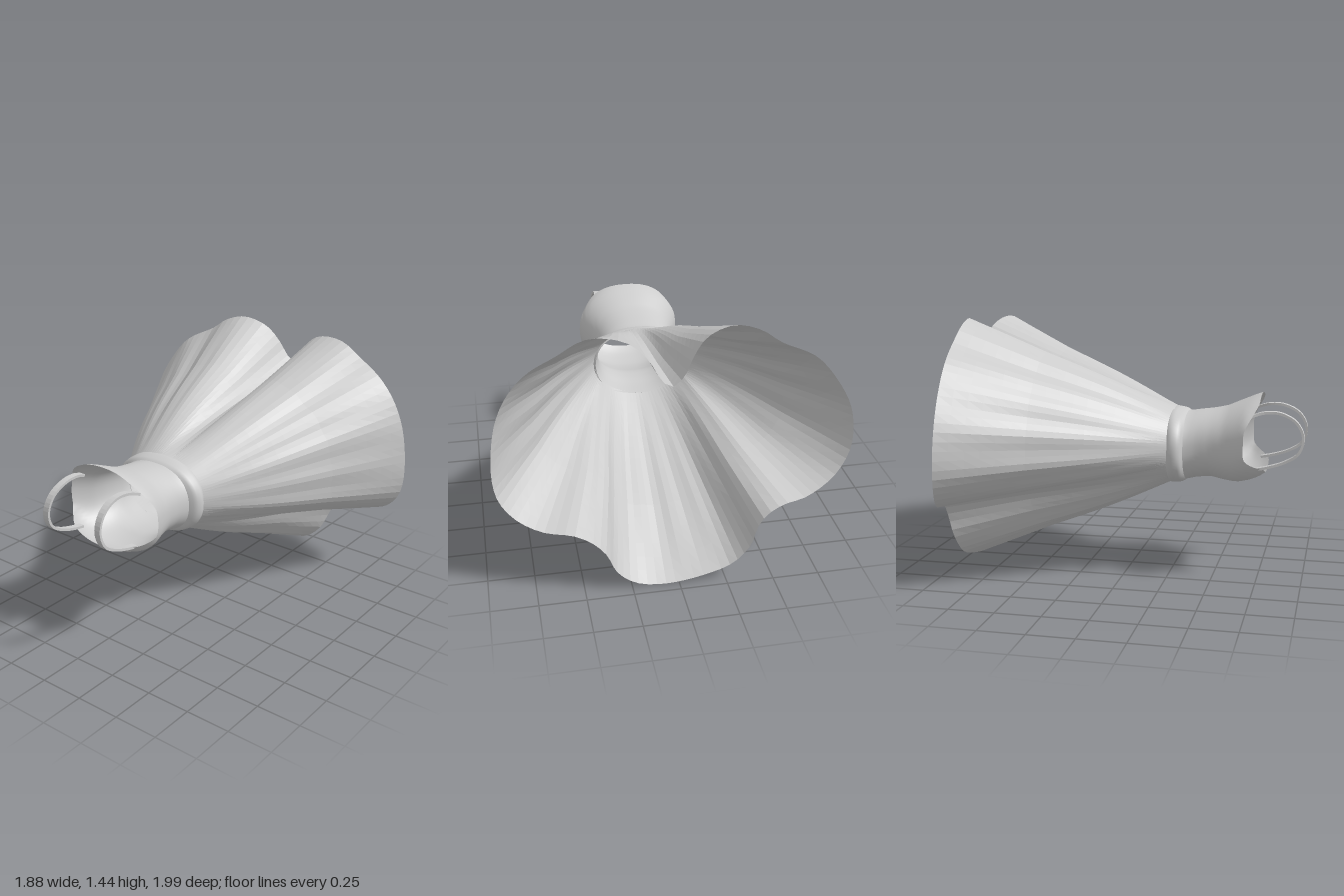
import * as THREE from 'three';

// Skin a list of closed rings (arrays of Vector3, counter-clockwise seen from +z, running towards -z)
function loft(rings, name, flatShading) {
  const n = rings[0].length, pos = [], index = [];
  rings.forEach(r => r.forEach(p => pos.push(p.x, p.y, p.z)));
  for (let j = 0; j < rings.length - 1; j++) {
    for (let i = 0; i < n; i++) {
      const a = j * n + i, b = j * n + (i + 1) % n;
      index.push(a, a + n, b, b, a + n, b + n);
    }
  }
  const g = new THREE.BufferGeometry();
  g.setAttribute('position', new THREE.Float32BufferAttribute(pos, 3));
  g.setIndex(index);
  g.computeVertexNormals();
  const mesh = new THREE.Mesh(g, new THREE.MeshStandardMaterial({
    color: 0xcccccc, flatShading, side: THREE.DoubleSide }));
  mesh.name = name;
  return mesh;
}

// Interpolate [z, halfWidth, bottomY, topY] rows sorted by rising z
function sample(table, z) {
  let k = 0;
  while (k < table.length - 2 && z > table[k + 1][0]) k++;
  const a = table[k], b = table[k + 1];
  const t = THREE.MathUtils.clamp((z - a[0]) / (b[0] - a[0]), 0, 1);
  return a.map((v, i) => v + (b[i] - v) * t);
}

// Point on the rounded body section at angle a and depth z
function bodyPoint(table, a, z) {
  const [, hw, lo, hi] = sample(table, z);
  const soft = v => Math.sign(v) * Math.abs(v) ** 0.88;
  return new THREE.Vector3(hw * soft(Math.cos(a)), (lo + hi) / 2 + (hi - lo) / 2 * soft(Math.sin(a)), z);
}

// Wavy hem outline, x and y
const HEM = [
  [0.93, 0.63], [0.935, 0.78], [0.9, 1.0], [0.83, 1.15], [0.73, 1.26], [0.6, 1.34], [0.46, 1.42],
  [0.33, 1.425], [0.23, 1.39], [0.16, 1.32], [0.1, 1.22], [0.05, 1.195], [0, 1.24], [-0.05, 1.33],
  [-0.12, 1.41], [-0.26, 1.45], [-0.4, 1.41], [-0.5, 1.34], [-0.7, 1.23], [-0.84, 1.06], [-0.92, 0.9],
  [-0.94, 0.73], [-0.92, 0.64], [-0.84, 0.53], [-0.68, 0.455], [-0.54, 0.45], [-0.45, 0.41],
  [-0.4, 0.33], [-0.38, 0.22], [-0.29, 0.1], [-0.13, 0.04], [0.09, 0.005], [0.23, 0.03], [0.33, 0.12],
  [0.39, 0.26], [0.46, 0.34], [0.55, 0.385], [0.7, 0.395], [0.82, 0.45], [0.9, 0.54]];

const BODICE = [
  [0.24, 0.27, 0.53, 0.94], [0.34, 0.24, 0.54, 0.925], [0.4, 0.232, 0.555, 0.935],
  [0.48, 0.238, 0.56, 0.945], [0.55, 0.255, 0.545, 0.96], [0.62, 0.285, 0.537, 0.99],
  [0.68, 0.31, 0.55, 1.015], [0.74, 0.29, 0.57, 1.04], [0.79, 0.26, 0.605, 1.045]];

const BAND = [
  [0.245, 0.265, 0.53, 0.94], [0.255, 0.282, 0.52, 0.95], [0.28, 0.292, 0.522, 0.945],
  [0.31, 0.287, 0.525, 0.94], [0.325, 0.265, 0.532, 0.932], [0.335, 0.242, 0.54, 0.925]];

function makeSkirt() {
  const cy = 0.74, rows = 16;
  const curve = new THREE.CatmullRomCurve3(HEM.map(([x, y]) => new THREE.Vector3(x, y, 0)), true);
  const hem = curve.getSpacedPoints(110).slice(0, -1);
  // The cloth has an even length, so inner folds reach further back
  hem.forEach(p => {
    const r = Math.hypot(p.x, p.y - 0.75);
    p.z = -0.99 + 0.15 * (Math.max(0, r - 0.5) / 0.43) ** 1.2 + 0.04 * (p.y - 0.75);
  });
  const rings = [];
  for (let j = 0; j <= rows; j++) {
    const t = j / rows;
    rings.push(hem.map(h => {
      const a = Math.atan2(h.y - cy, h.x);
      const waist = new THREE.Vector3(0.272 * Math.cos(a), cy + 0.212 * Math.sin(a), 0.26);
      const p = waist.lerp(h, t);
      // Slight swell below the waist and fine gathers
      const swell = 1 + 0.05 * Math.sin(Math.PI * Math.min(1, t * 1.6)) * (1 - t)
        + 0.01 * Math.sin(24 * a) * Math.sin(Math.PI * t);
      p.x *= swell;
      p.y = cy + (p.y - cy) * swell;
      return p;
    }));
  }
  return loft(rings, 'skirt', true);
}

function makeBodice() {
  const n = 64, rows = 18, rings = [];
  for (let j = 0; j <= rows; j++) {
    rings.push(Array.from({ length: n }, (_, i) => {
      const a = i / n * Math.PI * 2, s = Math.sin(a);
      // Neckline reaches forward at front and back, armholes scoop at the sides
      const end = 0.675 + (s > 0 ? 0.075 : 0.105) * THREE.MathUtils.smoothstep(Math.abs(s), 0.2, 0.88);
      return bodyPoint(BODICE, a, end + (0.24 - end) * j / rows);
    }));
  }
  return loft(rings, 'bodice', false);
}

function makeBand() {
  const n = 64;
  const rings = BAND.slice().reverse().map(([z]) =>
    Array.from({ length: n }, (_, i) => bodyPoint(BAND, i / n * Math.PI * 2, z)));
  return loft(rings, 'waistband', false);
}

// Flat shoulder strap swept along an arc
function makeStrap(side, name) {
  const path = new THREE.CatmullRomCurve3([
    [0.195, 0.93, 0.7], [0.18, 0.953, 0.77], [0.172, 0.952, 0.86], [0.175, 0.905, 0.95], [0.18, 0.82, 0.99],
    [0.185, 0.735, 0.965], [0.185, 0.685, 0.89], [0.188, 0.655, 0.8], [0.19, 0.64, 0.73]
  ].map(([x, y, z]) => new THREE.Vector3(side * x, y, z)));
  const rings = [];
  for (let j = 0; j <= 32; j++) {
    const p = path.getPointAt(j / 32), t = path.getTangentAt(j / 32);
    const nrm = new THREE.Vector3(0, t.z, -t.y).normalize().multiplyScalar(0.007);
    rings.push([[1, 1], [1, -1], [-1, -1], [-1, 1]].map(([u, v]) =>
      p.clone().addScaledVector(nrm, v).add(new THREE.Vector3(u * 0.018, 0, 0))));
  }
  return loft(rings, name, true);
}

export function createModel() {
  const dress = new THREE.Group();
  dress.name = 'dress';
  dress.add(makeSkirt(), makeBodice(), makeBand(), makeStrap(1, 'leftStrap'), makeStrap(-1, 'rightStrap'));
  return dress;
}
